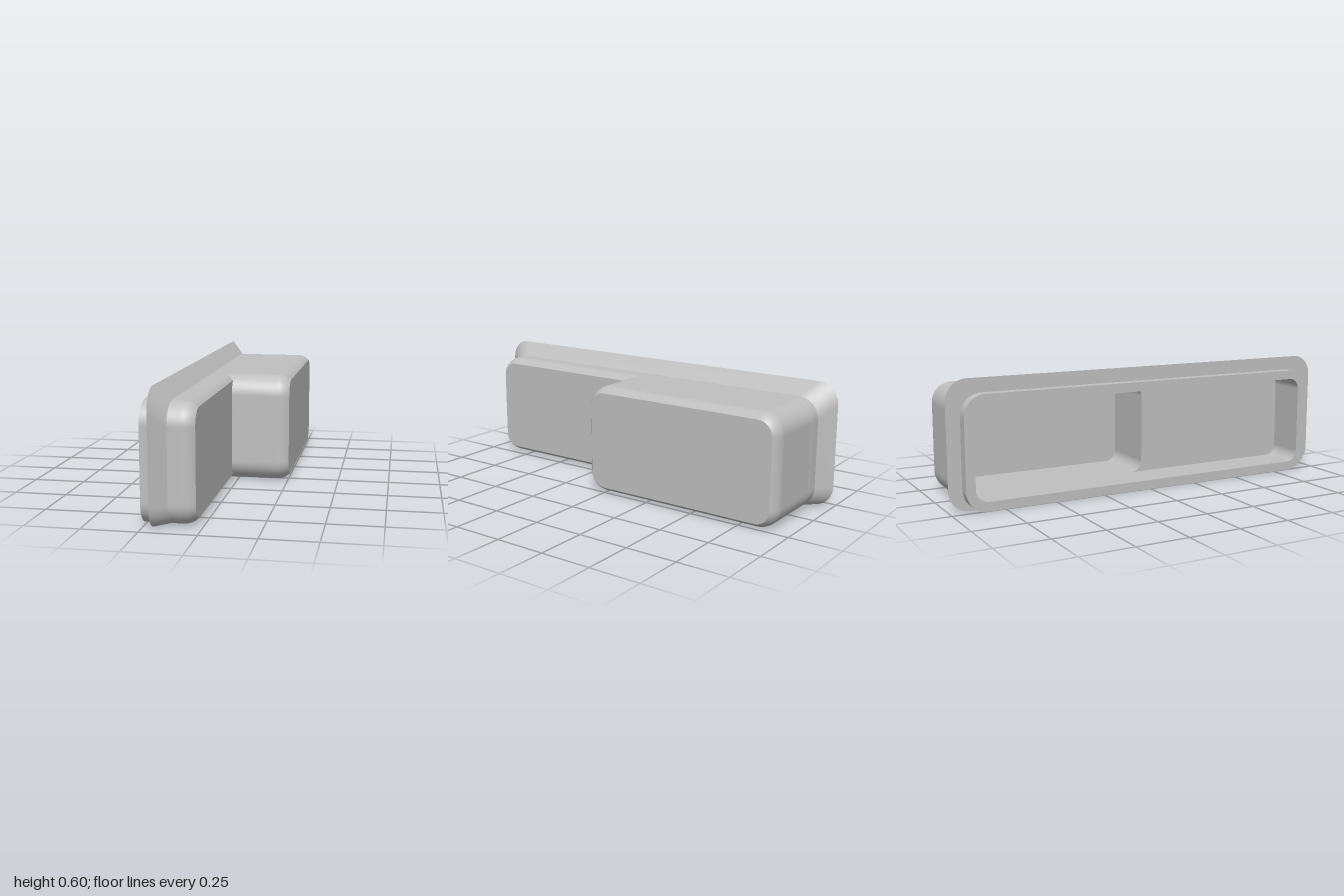
import * as THREE from 'three';

const ARC = 10; // segments per rounded corner

// Rounded rectangle, counter-clockwise from the bottom right corner
function section(u0, u1, y0, y1, r) {
  const pts = [];
  const corners = [[u1 - r, y0 + r], [u1 - r, y1 - r], [u0 + r, y1 - r], [u0 + r, y0 + r]];
  corners.forEach(([cu, cy], k) => {
    for (let i = 0; i <= ARC; i++) {
      const a = (k - 1 + i / ARC) * Math.PI / 2;
      pts.push(new THREE.Vector2(cu + r * Math.cos(a), cy + r * Math.sin(a)));
    }
  });
  return pts;
}

// Skin over matching sections, each given as [points, depth]
function loft(rings) {
  const pos = [], index = [], n = rings[0][0].length;
  for (const [pts, w] of rings) for (const p of pts) pos.push(p.x, p.y, w);
  for (let i = 0; i < rings.length - 1; i++) {
    for (let j = 0; j < n; j++) {
      const k = (j + 1) % n;
      const a = i * n + j, b = i * n + k, c = a + n, d = b + n;
      index.push(a, b, d, a, d, c);
    }
  }
  const g = new THREE.BufferGeometry();
  g.setAttribute('position', new THREE.Float32BufferAttribute(pos, 3));
  g.setIndex(index);
  g.computeVertexNormals();
  return g;
}

// Flat face at a given depth, optionally facing backwards
function face(pts, w, back = false) {
  const g = new THREE.ShapeGeometry(new THREE.Shape(pts));
  if (back) {
    g.index.array.reverse();
    g.computeVertexNormals();
  }
  return g.translate(0, 0, w);
}

export function createModel() {
  const grey = new THREE.MeshStandardMaterial({ color: 0xbfbfbf });
  const model = new THREE.Group();
  const housing = new THREE.Group();
  housing.name = 'housing';
  housing.rotation.y = Math.PI / 2; // depth runs along +x, section width along -z
  model.add(housing);

  const add = (name, geometry) => {
    const mesh = new THREE.Mesh(geometry, grey);
    mesh.name = name;
    housing.add(mesh);
  };

  const BACK = -0.257, STEP = -0.025, FRONT = 0.257, WALL = 0.045;
  const HALF = 0.935, TOP = 0.53, R = 0.1, DEEP = -0.097;
  const wide = (d) => section(-HALF + d, HALF - d, d, TOP - d, R - d);
  const deep = (d) => section(DEEP + d, HALF - d, d, TOP - d, R - d);

  // Rounded front edge: arc sweeping inwards over the last part of the depth
  const FILLET = 0.062, INSET = 0.027;
  const radius = (FILLET * FILLET + INSET * INSET) / (2 * INSET);
  const shell = (make, start, end) => {
    const rings = [[make(0), start]];
    for (let i = 0; i <= 8; i++) {
      const s = FILLET * i / 8;
      rings.push([make(radius - Math.sqrt(radius * radius - s * s)), end - FILLET + s]);
    }
    return loft(rings);
  };
  // Part of the wide section that lies beside the deep section
  const beside = (d) => {
    const half = 2 * (ARC + 1);
    return [...wide(d).slice(half), ...deep(d).slice(half).reverse()];
  };

  // Outer shells and their front faces
  add('shallowShell', shell(wide, BACK, STEP));
  add('shallowFront', face(beside(INSET), STEP));
  add('deepShell', shell(deep, STEP - WALL, FRONT));
  add('deepFront', face(deep(INSET), FRONT));

  // Open back: rim and stepped cavity
  add('rim', loft([[wide(WALL), BACK], [wide(0), BACK]]));
  add('shallowCavity', loft([[wide(WALL), STEP - WALL], [wide(WALL), BACK]]));
  add('shallowCavityFloor', face(beside(WALL), STEP - WALL, true));
  add('deepCavity', loft([[deep(WALL), FRONT - WALL], [deep(WALL), STEP - WALL]]));
  add('deepCavityFloor', face(deep(WALL), FRONT - WALL, true));

  // Flared flange on the top and both ends, flush at the bottom
  const flare = section(-1, 1, 0, 0.597, R);
  add('flangeSlope', loft([[flare, -0.204], [wide(0), -0.139]]));
  add('flangeBack', loft([[wide(0), -0.204], [flare, -0.204]]));

  return model;
}
